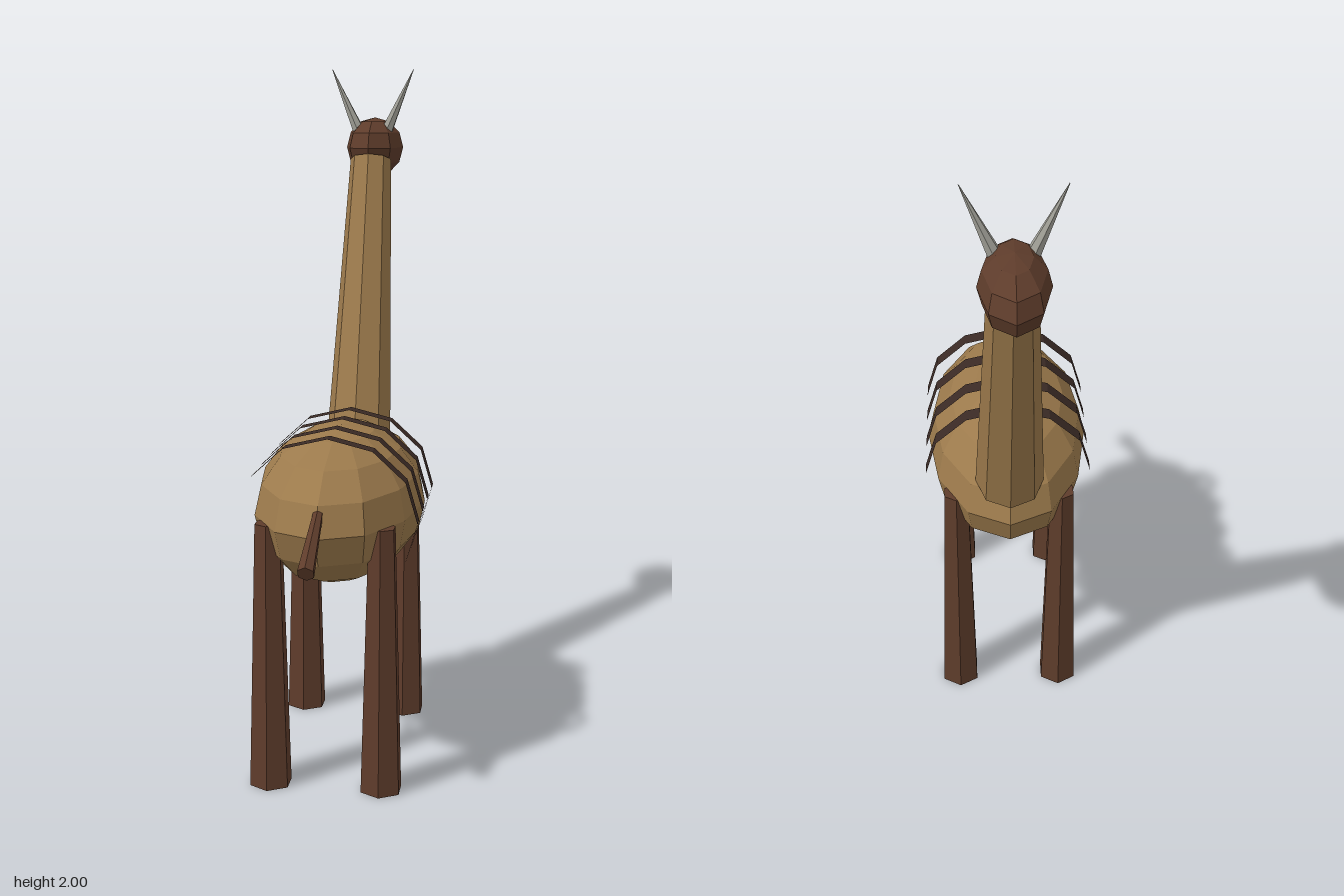
import * as THREE from 'three';

const mat = (color) => new THREE.MeshStandardMaterial({ color, flatShading: true });
const UP = new THREE.Vector3(0, 1, 0);

export function createModel() {
  const model = new THREE.Group();
  model.name = 'longNeckedAnimal';
  const hide = mat(0x9c7a4c), brown = mat(0x5e3c2b), dark = mat(0x3a2a25), horn = mat(0xa3a299);

  const add = (name, geometry, material) => {
    const mesh = new THREE.Mesh(geometry, material);
    mesh.name = name;
    model.add(mesh);
    return mesh;
  };

  // Faceted ellipsoid
  const blob = (name, material, w, h, pos, size) => {
    const mesh = add(name, new THREE.SphereGeometry(1, w, h), material);
    mesh.position.set(...pos);
    mesh.scale.set(...size);
  };

  // Tapered prism running from point a to point b
  const taper = (name, material, a, b, ra, rb, sides) => {
    const from = new THREE.Vector3(...a), to = new THREE.Vector3(...b);
    const axis = to.clone().sub(from);
    const mesh = add(name, new THREE.CylinderGeometry(rb, ra, axis.length(), sides), material);
    mesh.position.copy(from).add(to).multiplyScalar(0.5);
    mesh.quaternion.setFromUnitVectors(UP, axis.normalize());
  };

  blob('body', hide, 12, 8, [0, 0.765, 0.14], [0.245, 0.22, 0.445]);
  taper('neck', hide, [0, 0.86, -0.21], [0, 1.72, -0.48], 0.1, 0.065, 8);
  blob('head', brown, 8, 6, [0, 1.755, -0.58], [0.092, 0.095, 0.17]);
  taper('tail', brown, [0, 0.83, 0.54], [0, 0.72, 0.738], 0.014, 0.024, 6);

  // Thin bands around the body, visible from outside only
  for (const z of [-0.035, 0.1, 0.235, 0.37]) {
    const geometry = new THREE.CylinderGeometry(1, 1, 0.048, 12, 1, true).rotateX(Math.PI / 2);
    const band = add('stripe', geometry, dark);
    band.scale.set(0.25, 0.23, 1);
    band.position.set(0, 0.766, z);
  }

  // Mirrored legs and horns
  for (const s of [-1, 1]) {
    const side = s > 0 ? 'left' : 'right';
    taper(side + 'HeadEndLeg', brown, [s * 0.158, 0, -0.15], [s * 0.158, 0.765, -0.15], 0.062, 0.04, 6);
    taper(side + 'TailEndLeg', brown, [s * 0.158, 0, 0.437], [s * 0.158, 0.765, 0.437], 0.062, 0.04, 6);
    taper(side + 'Horn', horn, [s * 0.044, 1.805, -0.523], [s * 0.13, 2, -0.523], 0.02, 0.001, 6);
  }
  return model;
}
